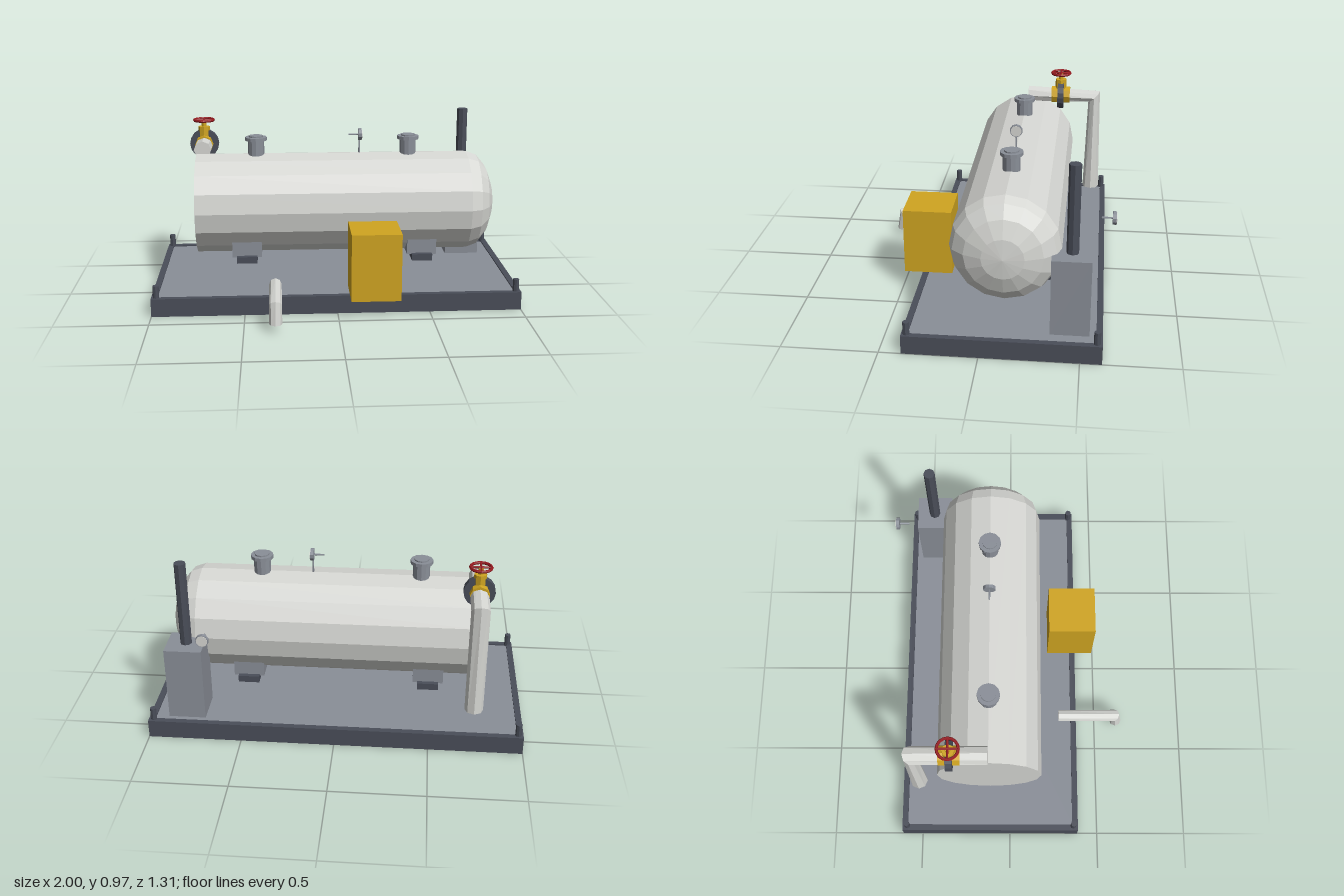
import * as THREE from 'three';

const paint = (name, color) => {
  const m = new THREE.MeshStandardMaterial({ color, flatShading: true });
  m.name = name;
  return m;
};

export function createModel() {
  const model = new THREE.Group();
  model.name = 'skidMountedTank';
  const shell = paint('paleShell', 0xd6d7d3);
  const grey = paint('steelGrey', 0x8a8f98);
  const dark = paint('darkSteel', 0x4a4e59);
  const yellow = paint('safetyYellow', 0xd0a521);
  const red = paint('handwheelRed', 0x95191f);

  const add = (name, geo, mat, parent = model) => {
    const mesh = new THREE.Mesh(geo, mat);
    mesh.name = name;
    parent.add(mesh);
    return mesh;
  };
  const group = (name, x = 0, y = 0, z = 0) => {
    const g = new THREE.Group();
    g.name = name;
    g.position.set(x, y, z);
    model.add(g);
    return g;
  };
  // box given by its lower and upper limits
  const box = (name, mat, [x0, x1], [y0, y1], [z0, z1], parent) => {
    const m = add(name, new THREE.BoxGeometry(x1 - x0, y1 - y0, z1 - z0), mat, parent);
    m.position.set((x0 + x1) / 2, (y0 + y1) / 2, (z0 + z1) / 2);
    return m;
  };
  // cylinder between two points
  const rod = (name, mat, from, to, radius, sides = 8, parent) => {
    const a = new THREE.Vector3(...from), b = new THREE.Vector3(...to);
    const m = add(name, new THREE.CylinderGeometry(radius, radius, a.distanceTo(b), sides), mat, parent);
    m.position.copy(a).add(b).multiplyScalar(0.5);
    m.quaternion.setFromUnitVectors(new THREE.Vector3(0, 1, 0), b.sub(a).normalize());
    return m;
  };
  // bent pipe in a plane of constant x: each station is [y, z, tangentY, tangentZ]
  const bentPipe = (name, x, radius, stations, sides = 8) => {
    const pos = [], index = [], n = stations.length;
    const U = new THREE.Vector3(1, 0, 0);
    for (const [y, z, ty, tz] of stations) {
      const V = new THREE.Vector3(0, ty, tz).normalize().cross(U);
      for (let i = 0; i < sides; i++) {
        const a = (i / sides) * Math.PI * 2;
        pos.push(x + radius * Math.cos(a), y + V.y * radius * Math.sin(a), z + V.z * radius * Math.sin(a));
      }
    }
    for (let s = 0; s < n - 1; s++) {
      for (let i = 0; i < sides; i++) {
        const a = s * sides + i, b = s * sides + ((i + 1) % sides);
        index.push(a, b, b + sides, a, b + sides, a + sides);
      }
    }
    const last = (n - 1) * sides;
    for (let i = 1; i < sides - 1; i++) {
      index.push(0, i + 1, i, last, last + i, last + i + 1);
    }
    const g = new THREE.BufferGeometry();
    g.setAttribute('position', new THREE.Float32BufferAttribute(pos, 3));
    g.setIndex(index);
    g.computeVertexNormals();
    return add(name, g, shell);
  };

  // skid: deck plate framed by beams, with corner lifting posts
  const skid = group('skid');
  box('deck', grey, [-0.97, 0.97], [0.075, 0.093], [-0.58, 0.36], skid);
  box('rearBeam', dark, [-1, 1], [0, 0.1], [-0.61, -0.578], skid);
  box('frontBeam', dark, [-1, 1], [0, 0.1], [0.354, 0.386], skid);
  for (const s of [-1, 1]) {
    box('endBeam', dark, s < 0 ? [-1, -0.967] : [0.967, 1], [0, 0.1], [-0.578, 0.354], skid);
    for (const z of [-0.583, 0.36]) {
      rod('liftingPost', dark, [s * 0.973, 0.09, z], [s * 0.973, 0.168, z], 0.017, 8, skid);
    }
  }

  // horizontal vessel: flat left end, domed right end
  const TY = 0.5, TZ = -0.112, TR = 0.281;
  const tank = group('tank', 0, TY, TZ);
  rod('tankShell', shell, [-0.77, 0, 0], [0.76, 0, 0], TR, 16, tank);
  const domeGeo = new THREE.SphereGeometry(TR, 16, 4, 0, Math.PI * 2, 0, Math.PI / 2);
  domeGeo.scale(1, 0.157 / TR, 1);
  domeGeo.rotateZ(-Math.PI / 2);
  add('tankDome', domeGeo, shell, tank).position.x = 0.76;

  // saddles and manways
  for (const x of [-0.49, 0.49]) {
    box('saddle', grey, [x - 0.082, x + 0.082], [0.235, 0.322], [-0.322, 0.1]);
    box('saddleFoot', dark, [x - 0.057, x + 0.057], [0.206, 0.243], [-0.347, 0.128]);
  }
  for (const x of [-0.433, 0.427]) {
    const manway = group('manway', x, 0, TZ);
    rod('neck', grey, [0, 0.74, 0], [0, 0.86, 0], 0.046, 12, manway);
    rod('flange', grey, [0, 0.857, 0], [0, 0.876, 0], 0.061, 12, manway);
    rod('lid', grey, [0, 0.87, 0], [0, 0.884, 0], 0.04, 12, manway);
  }

  // dial gauges, built facing +z
  const gauge = (x, y, z, turn) => {
    const g = group('gauge', x, y, z);
    g.rotation.y = turn;
    rod('gaugeStem', grey, [0, 0, -0.06], [0, 0, 0], 0.005, 6, g);
    rod('gaugeCase', grey, [0, 0, -0.005], [0, 0, 0.013], 0.034, 10, g);
    rod('gaugeFace', shell, [0, 0, 0.01], [0, 0, 0.016], 0.03, 10, g);
  };
  gauge(0.15, 0.885, TZ, Math.PI / 2);
  rod('gaugeRiser', grey, [0.15, 0.76, TZ], [0.15, 0.88, TZ], 0.005, 6);
  gauge(0.663, 0.635, -0.64, Math.PI);

  // overhead outlet pipe and front drain pipe
  const PX = -0.735, PY = 0.803, VZ = -0.312;
  bentPipe('outletPipe', PX, 0.049, [[PY, -0.115, 0, -1], [PY - 0.006, -0.517, -1, -1], [0.204, -0.514, -1, 0]]);
  bentPipe('drainPipe', -0.335, 0.034, [[0.137, 0.283, 0, 1], [0.141, 0.612, -1, 1], [0.04, 0.622, -1, 0]]);

  // gate valve on the outlet pipe
  const valve = group('valve', PX, PY, VZ);
  rod('valveBody', yellow, [0, 0, -0.056], [0, 0, 0.056], 0.052, 8, valve);
  rod('valveFlange', dark, [0, 0, -0.018], [0, 0, 0.018], 0.083, 16, valve);
  rod('bonnet', yellow, [0, 0.03, 0], [0, 0.1, 0], 0.033, 8, valve);
  rod('valveStem', yellow, [0, 0.09, 0], [0, 0.135, 0], 0.014, 8, valve);
  const rim = add('handwheelRim', new THREE.TorusGeometry(0.055, 0.008, 6, 16), red, valve);
  rim.rotation.x = Math.PI / 2;
  rim.position.y = 0.137;
  rod('handwheelSpoke', red, [-0.055, 0.137, 0], [0.055, 0.137, 0], 0.006, 6, valve);
  rod('handwheelSpoke', red, [0, 0.137, -0.055], [0, 0.137, 0.055], 0.006, 6, valve);

  // control cabinet, burner housing and stack
  box('controlCabinet', yellow, [0.066, 0.332], [0.1, 0.467], [0.222, 0.486]);
  box('burnerHousing', grey, [0.7, 0.898], [0.09, 0.502], [-0.544, -0.346]);
  rod('exhaustStack', dark, [0.797, 0.48, -0.446], [0.797, 0.97, -0.446], 0.031, 8);

  return model;
}
